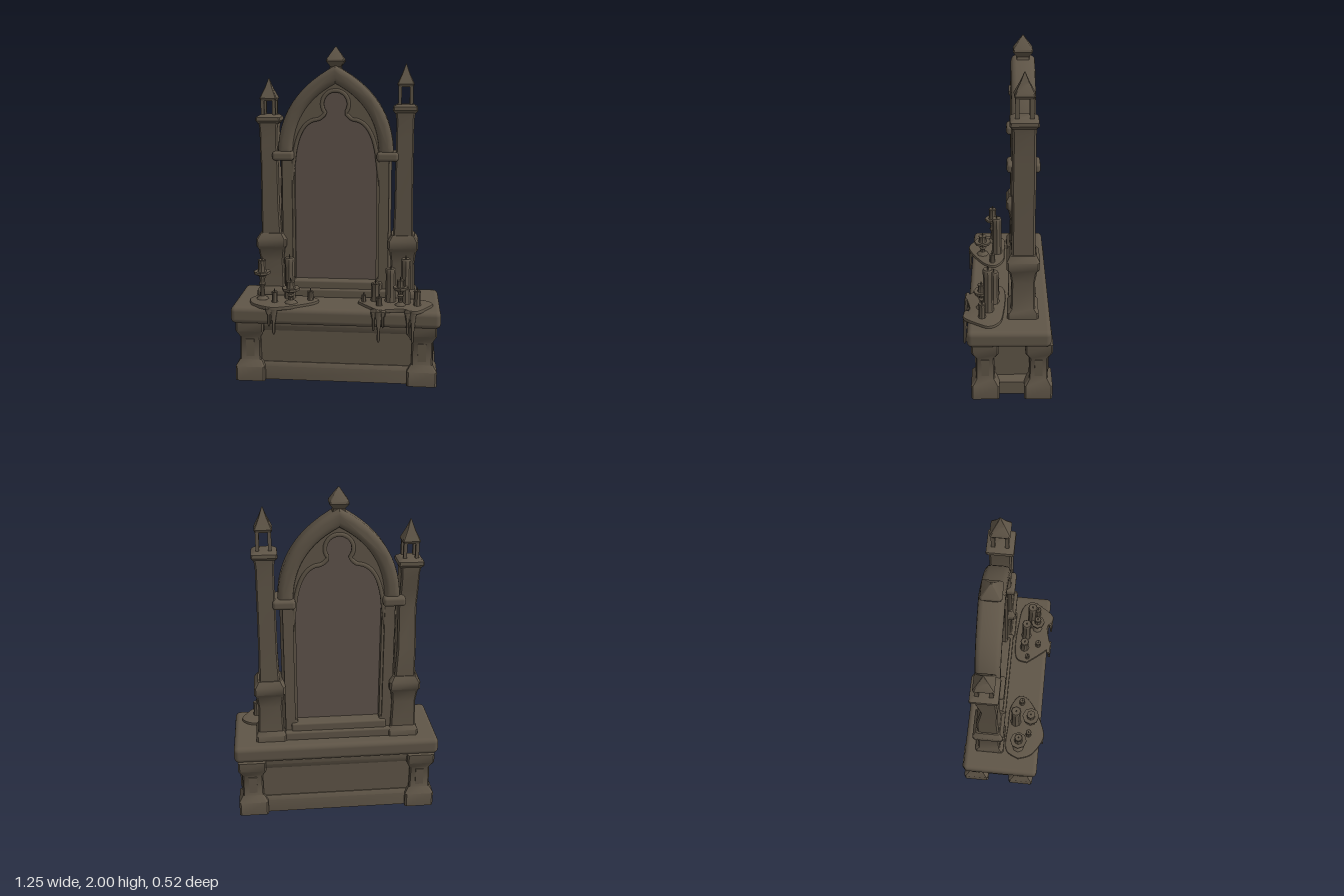
import * as THREE from 'three';
import { toCreasedNormals } from 'three/addons/utils/BufferGeometryUtils.js';
import { RoundedBoxGeometry } from 'three/addons/geometries/RoundedBoxGeometry.js';

const stone = new THREE.MeshStandardMaterial({ color: 0x5f5547 });
stone.name = 'weathered stone';
const mirror = new THREE.MeshStandardMaterial({ color: 0x5f534b, side: THREE.DoubleSide });
mirror.name = 'dull mirror';

const CX = -0.02;  // centre of the arch
const CZ = -0.09;  // mid depth of the upper structure

function add(parent, name, geo, x = 0, y = 0, z = 0, mat = stone) {
  const m = new THREE.Mesh(geo, mat);
  m.name = name;
  m.position.set(x, y, z);
  parent.add(m);
  return m;
}

// Solid through square sections with cut corners: [y, halfX, halfZ, offsetX, offsetZ]
function loft(sections, cut = 0.18) {
  const k = 1 - cut;
  const ring = [[1, k], [1, -k], [k, -1], [-k, -1], [-1, -k], [-1, k], [-k, 1], [k, 1]];
  const n = ring.length, pos = [], idx = [];
  sections.forEach(([y, hx, hz, ox = 0, oz = 0], s) => {
    for (const [px, pz] of ring) pos.push(ox + px * hx, y, oz + pz * hz);
    if (s === 0) return;
    for (let i = 0; i < n; i++) {
      const a = (s - 1) * n + i, b = (s - 1) * n + (i + 1) % n;
      idx.push(a, b, b + n, a, b + n, a + n);
    }
  });
  const top = (sections.length - 1) * n;
  for (let i = 1; i < n - 1; i++) idx.push(0, i + 1, i, top, top + i, top + i + 1);
  const g = new THREE.BufferGeometry();
  g.setAttribute('position', new THREE.Float32BufferAttribute(pos, 3));
  g.setIndex(idx);
  return toCreasedNormals(g, 0.65);
}

// Pointed arch outline standing on yBase
function archPath(Type, w, yBase, spring, ctrl, apex) {
  const p = new Type();
  p.moveTo(-w, yBase);
  p.lineTo(w, yBase);
  p.lineTo(w, spring);
  p.quadraticCurveTo(w, ctrl, 0, apex);
  p.quadraticCurveTo(-w, ctrl, -w, spring);
  p.lineTo(-w, yBase);
  return p;
}

// Opening with a three-lobed head
function trefoilPath() {
  const p = new THREE.Path();
  p.moveTo(-0.25, 0.56);
  p.lineTo(0.25, 0.56);
  p.lineTo(0.25, 1.36);
  p.quadraticCurveTo(0.22, 1.57, 0.1, 1.575);
  p.lineTo(0.061, 1.613);
  p.absarc(0, 1.665, 0.08, -0.7, Math.PI + 0.7, false);
  p.lineTo(-0.1, 1.575);
  p.quadraticCurveTo(-0.22, 1.57, -0.25, 1.36);
  p.lineTo(-0.25, 0.56);
  return p;
}

function extrude(shape, depth, bevel, segs = 3) {
  const g = new THREE.ExtrudeGeometry(shape, {
    depth: depth - 2 * bevel, bevelEnabled: bevel > 0, bevelSize: bevel, bevelThickness: bevel,
    bevelOffset: -bevel, bevelSegments: segs, curveSegments: 14,
  });
  g.translate(0, 0, -depth / 2 + bevel);
  return toCreasedNormals(g, 0.6);
}

function buildBase(root) {
  const base = new THREE.Group();
  base.name = 'altarBase';
  root.add(base);
  add(base, 'tableSlab', new RoundedBoxGeometry(1.255, 0.105, 0.48, 3, 0.03), -0.002, 0.422, -0.01);
  add(base, 'body', new THREE.BoxGeometry(1.04, 0.37, 0.37), 0, 0.19, -0.03);
  add(base, 'skirting', loft([[0, 0.56, 0.205], [0.085, 0.56, 0.205], [0.11, 0.525, 0.19]], 0.03), 0, 0, -0.03);
  add(base, 'upperMoulding', loft([[0.31, 0.52, 0.185], [0.345, 0.55, 0.2], [0.375, 0.55, 0.2]], 0.03), 0, 0, -0.03);
  const post = loft([[0, 0.09, 0.083], [0.09, 0.09, 0.083], [0.128, 0.064, 0.055],
    [0.27, 0.062, 0.052], [0.315, 0.085, 0.078], [0.375, 0.085, 0.08]], 0.12);
  for (const x of [-0.52, 0.52]) for (const z of [0.128, -0.181]) {
    add(base, 'cornerPost', post, x, 0, z);
    const s = Math.sign(z);
    add(base, 'postPanel', new THREE.BoxGeometry(0.05, 0.11, 0.008), x, 0.205, z + s * 0.055);
    add(base, 'postSidePanel', new THREE.BoxGeometry(0.008, 0.11, 0.045), x + Math.sign(x) * 0.064, 0.205, z);
  }
}

function buildFrame(root) {
  const frame = new THREE.Group();
  frame.name = 'archedFrame';
  frame.position.set(CX, 0, CZ);
  root.add(frame);

  // Heavy outer arch, open below
  const ring = new THREE.Shape();
  ring.moveTo(0.35, 1.36);
  ring.quadraticCurveTo(0.35, 1.71, 0, 1.89);
  ring.quadraticCurveTo(-0.35, 1.71, -0.35, 1.36);
  ring.lineTo(-0.262, 1.36);
  ring.quadraticCurveTo(-0.262, 1.65, 0, 1.785);
  ring.quadraticCurveTo(0.262, 1.65, 0.262, 1.36);
  add(frame, 'outerArch', extrude(ring, 0.136, 0.03));

  // Tracery plate with rounded rims on both faces
  const plate = archPath(THREE.Shape, 0.3, 0.5, 1.36, 1.68, 1.82);
  plate.holes.push(trefoilPath());
  add(frame, 'tracery', extrude(plate, 0.07, 0));
  const pts = trefoilPath().getPoints(10).slice(0, -1);
  for (const z of [0.035, -0.035]) {
    const path = new THREE.CatmullRomCurve3(pts.map(p => new THREE.Vector3(p.x, p.y, z)), true);
    add(frame, 'traceryRim', new THREE.TubeGeometry(path, 180, 0.013, 6, true));
  }
  add(frame, 'mirrorPanel', new THREE.ShapeGeometry(archPath(THREE.Shape, 0.28, 0.52, 1.36, 1.66, 1.78), 14),
    0, 0, 0.01, mirror);

  // Side columns and capitals
  for (const s of [-1, 1]) {
    add(frame, 'sideColumn', new THREE.CylinderGeometry(0.04, 0.042, 0.87, 12), s * 0.3, 0.92, 0.005);
    add(frame, 'jamb', new THREE.BoxGeometry(0.06, 0.87, 0.1), s * 0.295, 0.92, 0);
    add(frame, 'columnCapital', new RoundedBoxGeometry(0.13, 0.055, 0.185, 2, 0.018), s * 0.315, 1.355, 0);
  }
  // Sill steps
  add(frame, 'upperSill', new RoundedBoxGeometry(0.58, 0.06, 0.13, 2, 0.012), 0, 0.547, 0);
  add(frame, 'lowerSill', new RoundedBoxGeometry(0.66, 0.06, 0.165, 2, 0.012), 0, 0.497, 0);
  add(frame, 'finial', loft([[1.86, 0.04, 0.04], [1.885, 0.033, 0.035], [1.915, 0.055, 0.056],
    [1.928, 0.052, 0.053], [2, 0.003, 0.003]], 0.12));
}

// Tower: pedestal, shaft, open lantern and spire
function buildTower(root, name, bx, tx, capY, tipY, waist) {
  const t = new THREE.Group();
  t.name = name;
  t.position.z = CZ;
  root.add(t);
  add(t, 'pedestal', loft([[0.47, 0.092, 0.092], [0.51, 0.092, 0.09], [0.535, 0.078, 0.07],
    [0.7, 0.072, 0.066], [0.775, 0.082, 0.078], [0.795, 0.093, 0.093], [0.84, 0.093, 0.093],
    [0.875, 0.07, 0.073]], 0.12), bx);
  const mid = (bx + tx) / 2;
  add(t, 'shaft', loft([[0.86, 0.062, 0.067, bx], [1.05, 0.056, 0.064, mid], [1.3, 0.054, 0.066 - waist, mid, waist],
    [1.42, 0.053, 0.064 - waist / 2, tx, waist / 2], [capY - 0.05, 0.053, 0.062, tx], [capY, 0.06, 0.066, tx]], 0.16));
  add(t, 'shaftCap', loft([[capY - 0.012, 0.062, 0.062], [capY + 0.005, 0.074, 0.078],
    [capY + 0.025, 0.072, 0.076], [capY + 0.04, 0.05, 0.055]], 0.1), tx);
  const y0 = capY + 0.03, y1 = tipY - 0.125;
  for (const sx of [-1, 1]) for (const sz of [-1, 1])
    add(t, 'lanternPillar', new THREE.BoxGeometry(0.02, y1 - y0 + 0.02, 0.022), tx + sx * 0.034, (y0 + y1) / 2, sz * 0.038);
  add(t, 'spire', loft([[y1 - 0.008, 0.044, 0.048], [y1 + 0.008, 0.051, 0.056], [y1 + 0.02, 0.046, 0.05],
    [y1 + 0.07, 0.022, 0.025], [tipY, 0.002, 0.002]], 0.12), tx);
}

function lathe(pts) {
  return toCreasedNormals(new THREE.LatheGeometry(pts.map(p => new THREE.Vector2(p[0], p[1])), 8), 0.7);
}

// Candle from y0 to the wick tip
function candle(parent, x, z, r, y0, tip) {
  const h = tip - y0 - 0.018;
  add(parent, 'candle', lathe([[0, 0], [r * 1.1, 0], [r * 0.92, h * 0.3], [r * 0.9, h * 0.8], [r, h * 0.97],
    [r * 0.85, h], [0, h - 0.006]]), x, y0, z);
  add(parent, 'wick', new THREE.CylinderGeometry(0.003, 0.004, 0.026, 5), x, tip - 0.013, z);
}

function stand(parent, x, z, r, dishY, tip) {
  const h = dishY - 0.48;
  add(parent, 'candleStand', lathe([[0, 0], [r * 0.8, 0], [r * 0.7, 0.015], [r * 0.3, 0.03], [r * 0.25, h * 0.5],
    [r * 0.42, h * 0.6], [r * 0.28, h * 0.7], [r * 0.4, h - 0.02], [r, h - 0.005], [r, h + 0.01], [0, h + 0.004]]), x, 0.48, z);
  candle(parent, x, z, r * 0.5, dishY, tip);
}

function waxPool(parent, pts) {
  const curve = new THREE.SplineCurve([...pts, pts[0]].map(([x, z]) => new THREE.Vector2(x, -z)));
  const g = extrude(new THREE.Shape(curve.getPoints(48).slice(0, -1)), 0.024, 0.007, 2);
  g.rotateX(-Math.PI / 2);
  add(parent, 'waxPool', g, 0, 0.479, 0);
}

function buildCandles(root) {
  const g = new THREE.Group();
  g.name = 'candles';
  root.add(g);
  waxPool(g, [[-0.535, 0.1], [-0.5, 0.03], [-0.44, 0.01], [-0.32, 0.015], [-0.2, 0.02], [-0.115, 0.07],
    [-0.13, 0.135], [-0.22, 0.2], [-0.33, 0.25], [-0.4, 0.25], [-0.5, 0.185]]);
  waxPool(g, [[0.13, 0.1], [0.15, 0.03], [0.25, 0.01], [0.42, 0.02], [0.53, 0.04], [0.58, 0.1], [0.55, 0.17],
    [0.49, 0.25], [0.44, 0.25], [0.4, 0.22], [0.3, 0.24], [0.26, 0.25], [0.2, 0.19]]);
  // Wax running over the front edge: x, lowest y, half width
  for (const [x, y, w] of [[-0.39, 0.37, 0.016], [-0.362, 0.32, 0.018], [0.23, 0.36, 0.014], [0.26, 0.29, 0.018],
    [0.285, 0.38, 0.013], [0.43, 0.34, 0.015], [0.46, 0.29, 0.017]])
    add(g, 'waxDrip', loft([[y, 0.003, 0.003, 0, 0.008], [y + 0.015, w * 0.55, 0.008, 0, 0.006],
      [y + 0.07, w * 0.5, 0.008, 0, 0.004], [0.45, w, 0.012], [0.478, w * 1.3, 0.014, 0, -0.002],
      [0.488, w * 1.1, 0.01, 0, -0.006]], 0.4), x, 0, 0.243);
  // Plain candles: x, z, radius, tip height
  for (const [x, z, r, tip] of [[-0.29, 0.065, 0.033, 0.765], [-0.16, 0.095, 0.019, 0.565], [-0.37, 0.155, 0.019, 0.575],
    [0.165, 0.1, 0.015, 0.55], [0.235, 0.075, 0.029, 0.62], [0.325, 0.08, 0.032, 0.715], [0.26, 0.165, 0.019, 0.56],
    [0.415, 0.11, 0.031, 0.785], [0.485, 0.145, 0.022, 0.6]])
    candle(g, x, z, r, 0.48, tip);
  stand(g, -0.455, 0.095, 0.052, 0.655, 0.755);
  stand(g, -0.27, 0.16, 0.054, 0.575, 0.645);
  stand(g, 0.385, 0.15, 0.045, 0.595, 0.665);
}

export function createModel() {
  const root = new THREE.Group();
  root.name = 'gothicAltar';
  buildBase(root);
  buildFrame(root);
  buildTower(root, 'rightTower', -0.415, -0.425, 1.56, 1.815, 0.018);
  buildTower(root, 'leftTower', 0.395, 0.397, 1.625, 1.9, 0);
  buildCandles(root);
  return root;
}
